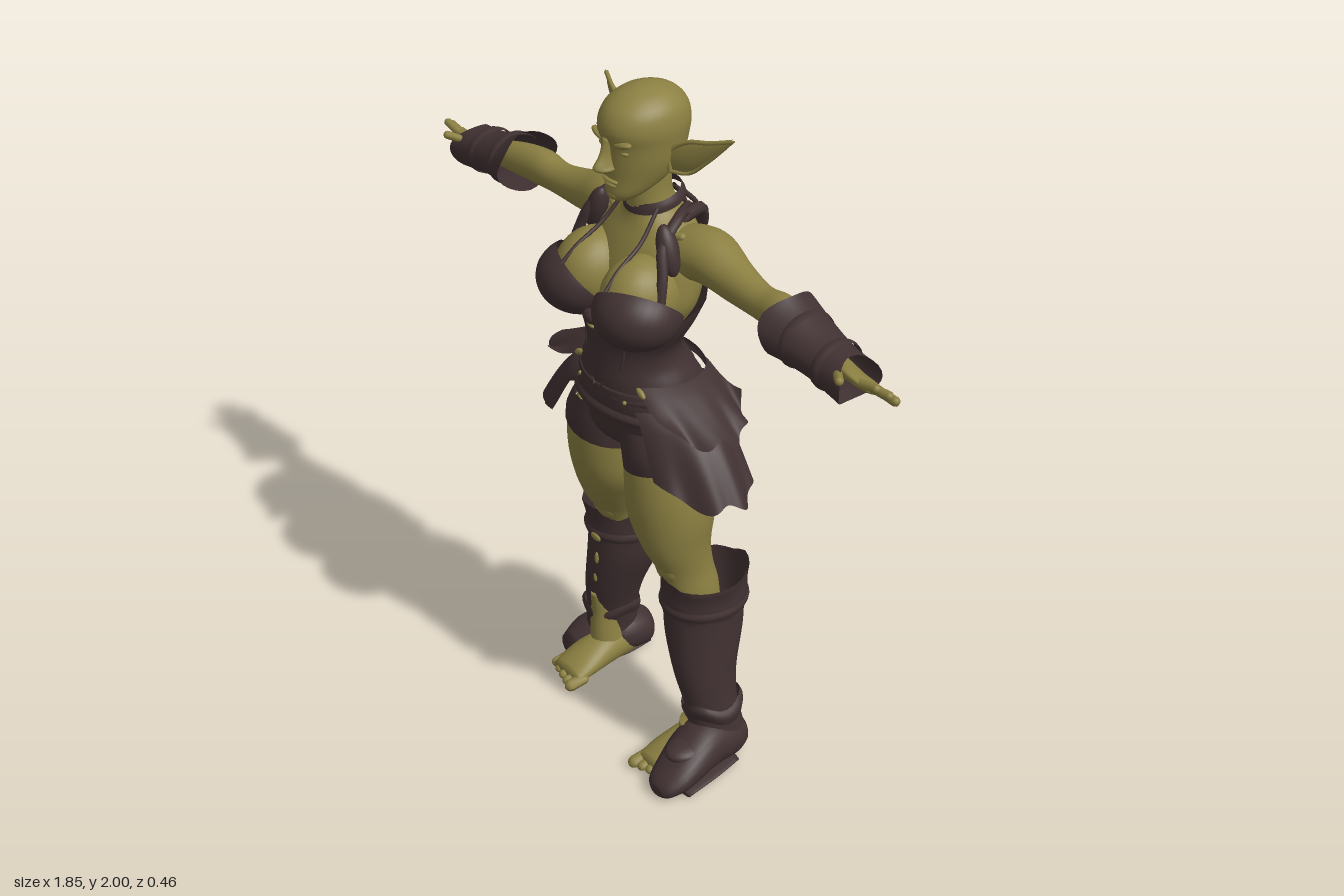
import * as THREE from 'three';

const skin = new THREE.MeshStandardMaterial({ color: 0x8c8042 });
skin.name = 'olive skin';
const leather = new THREE.MeshStandardMaterial({ color: 0x413132, side: THREE.DoubleSide });
leather.name = 'dark leather';

const V = (p) => new THREE.Vector3(...p);
const spline = (a, b, c, d, t) => b + 0.5 * t * (c - a + t * (2 * a - 5 * b + 4 * c - d + t * (3 * (b - c) + d - a)));

// Smooth skin over elliptical sections: [station, centre1, centre2, radius1, radius2]
// y axis: centres and radii in x, z; x axis: in y, z; z axis: in x, y
function loft(axis, rings, { cap = true, seg = 28, sub = 4, warp } = {}) {
  const sections = [];
  for (let i = 0; i < rings.length - 1; i++) {
    for (let k = 0; k < sub; k++) {
      const q = [i - 1, i, i + 1, i + 2].map((j) => rings[Math.min(Math.max(j, 0), rings.length - 1)]);
      sections.push(q[1].map((_, n) => spline(q[0][n], q[1][n], q[2][n], q[3][n], k / sub)));
    }
  }
  sections.push(rings.at(-1));
  if (cap) {
    sections.unshift([...sections[0].slice(0, 3), 0, 0]);
    sections.push([...sections.at(-1).slice(0, 3), 0, 0]);
  }
  const pos = [], idx = [];
  sections.forEach(([s, c, d, r, q], i) => {
    for (let j = 0; j < seg; j++) {
      const t = (j / seg) * Math.PI * 2, sn = Math.sin(t), cs = Math.cos(t);
      const p = axis === 'y' ? [c + r * sn, s, d + q * cs]
        : axis === 'x' ? [s, c + r * cs, d + q * sn] : [c - r * sn, d + q * cs, s];
      if (warp) warp(p, t, i / (sections.length - 1));
      pos.push(...p);
      if (i < sections.length - 1) {
        const a = i * seg + j, b = i * seg + ((j + 1) % seg);
        idx.push(a, b, b + seg, a, b + seg, a + seg);
      }
    }
  });
  const g = new THREE.BufferGeometry();
  g.setAttribute('position', new THREE.Float32BufferAttribute(pos, 3));
  g.setIndex(idx);
  g.computeVertexNormals();
  return g;
}

const ball = (c, r, rot = 0) => new THREE.SphereGeometry(1, 24, 16).scale(...r).rotateZ(rot).translate(...c);
const tube = (pts, r) => new THREE.TubeGeometry(new THREE.CatmullRomCurve3(pts.map(V)), 24, r, 8);
function capsule(a, b, r) {
  const d = V(b).sub(V(a)), len = d.length();
  const q = new THREE.Quaternion().setFromUnitVectors(new THREE.Vector3(0, 1, 0), d.normalize());
  return new THREE.CapsuleGeometry(r, len, 4, 10).applyQuaternion(q).translate(...V(a).add(V(b)).multiplyScalar(0.5));
}
function mirrored(geo) {
  const g = geo.clone().scale(-1, 1, 1), ix = g.index.array;
  for (let i = 0; i < ix.length; i += 3) [ix[i], ix[i + 1]] = [ix[i + 1], ix[i]];
  return g;
}

// Bulging side panel with soft folds, a wavy hem and slanted ends
function skirtPanel(from, to, top, hem, bulge) {
  const g = new THREE.PlaneGeometry(1, 1, 60, 10), p = g.attributes.position;
  for (let i = 0; i < p.count; i++) {
    const u = p.getX(i) + 0.5, v = 0.5 - p.getY(i), a = from + (to - from) * u;
    const mix = (n, k) => top[n] + (hem[n] - top[n]) * k;
    const out = v ** bulge, f = 1 + v * 0.025 * Math.sin(u * 26);
    const lift = v * v * (0.012 + 0.012 * Math.sin(u * 19) + 0.05 * Math.abs(2 * u - 1) ** 4);
    p.setXYZ(i, mix(1, out) * Math.sin(a) * f, mix(0, v) + lift, -0.01 + mix(2, out) * Math.cos(a) * f);
  }
  g.computeVertexNormals();
  return g;
}

export function createModel() {
  const model = new THREE.Group();
  model.name = 'warrior';
  const add = (name, geo, mat) => {
    const m = new THREE.Mesh(geo, mat);
    m.name = name;
    model.add(m);
  };
  const pair = (name, geo, mat) => {
    add(name + 'Left', geo, mat);
    add(name + 'Right', mirrored(geo), mat);
  };

  // Head and face
  add('head', loft('y', [[1.705, 0, 0.065, 0.028, 0.028], [1.725, 0, 0.045, 0.052, 0.06], [1.765, 0, 0.01, 0.076, 0.095],
    [1.81, 0, -0.005, 0.092, 0.112], [1.86, 0, -0.01, 0.099, 0.121], [1.905, 0, -0.008, 0.103, 0.129],
    [1.95, 0, -0.01, 0.092, 0.113], [1.982, 0, -0.013, 0.06, 0.074], [1.997, 0, -0.013, 0.02, 0.025]]), skin);
  add('nose', loft('y', [[1.788, 0, 0.112, 0.012, 0.012], [1.8, 0, 0.113, 0.023, 0.035], [1.812, 0, 0.113, 0.018, 0.04],
    [1.84, 0, 0.108, 0.012, 0.026], [1.885, 0, 0.105, 0.013, 0.016]]), skin);
  pair('brow', ball([0.042, 1.874, 0.096], [0.036, 0.01, 0.016], 0.25), skin);
  pair('eye', ball([0.04, 1.85, 0.087], [0.018, 0.008, 0.013]), skin);
  add('upperLip', ball([0, 1.764, 0.101], [0.03, 0.006, 0.012]), skin);
  add('lowerLip', ball([0, 1.751, 0.097], [0.024, 0.007, 0.013]), skin);
  add('chin', ball([0, 1.722, 0.086], [0.026, 0.018, 0.02]), skin);

  // Long pointed ears with a raised rim
  pair('ear', loft('x', [[0.08, 1.82, -0.03, 0.035, 0.015], [0.13, 1.832, -0.045, 0.046, 0.016],
    [0.18, 1.858, -0.06, 0.035, 0.012], [0.225, 1.888, -0.073, 0.017, 0.007], [0.262, 1.915, -0.085, 0.002, 0.002]]), skin);
  pair('earRim', tube([[0.09, 1.785, -0.02], [0.09, 1.84, -0.02], [0.13, 1.875, -0.038], [0.2, 1.893, -0.062], [0.258, 1.913, -0.084]], 0.006), skin);
  pair('earLowerRim', tube([[0.09, 1.785, -0.02], [0.14, 1.792, -0.04], [0.19, 1.838, -0.06], [0.24, 1.894, -0.078]], 0.005), skin);

  // Neck, chest and shoulders
  add('upperBody', loft('y', [[1.34, 0, 0.01, 0.13, 0.1], [1.42, 0, -0.002, 0.178, 0.122], [1.5, 0, -0.02, 0.183, 0.122],
    [1.57, 0, -0.033, 0.17, 0.108], [1.62, 0, -0.04, 0.13, 0.09], [1.655, 0, -0.035, 0.078, 0.075],
    [1.7, 0, -0.022, 0.059, 0.064], [1.78, 0, -0.02, 0.058, 0.065]]), skin);
  pair('collarbone', capsule([0.02, 1.605, 0.042], [0.15, 1.625, -0.012], 0.011), skin);
  pair('bust', ball([0.098, 1.46, 0.08], [0.098, 0.115, 0.115]), skin);

  // Arms and hands, the palm turned with the thumb up and forward
  pair('arm', loft('x', [[0.06, 1.56, -0.05, 0.05, 0.06], [0.14, 1.565, -0.06, 0.072, 0.08], [0.22, 1.572, -0.065, 0.07, 0.074],
    [0.32, 1.553, -0.06, 0.056, 0.055], [0.42, 1.545, -0.052, 0.045, 0.044], [0.5, 1.548, -0.05, 0.052, 0.047],
    [0.6, 1.54, -0.04, 0.046, 0.043], [0.72, 1.522, -0.03, 0.03, 0.033], [0.79, 1.518, -0.03, 0.022, 0.042],
    [0.84, 1.513, -0.032, 0.019, 0.044], [0.86, 1.513, -0.032, 0.012, 0.036]],
  { warp: (p) => { if (p[0] > 0.72) p[1] += (p[2] + 0.03) * 0.6 * Math.min((p[0] - 0.72) / 0.07, 1); } }), skin);
  [[[0.83, 1.49, -0.064], [0.884, 1.472, -0.078]], [[0.84, 1.503, -0.044], [0.91, 1.497, -0.054]],
    [[0.84, 1.519, -0.022], [0.914, 1.524, -0.028]], [[0.83, 1.532, 0], [0.895, 1.545, -0.002]],
    [[0.77, 1.537, 0.01], [0.822, 1.55, 0.05]]].forEach(([a, b], i) => pair('finger' + (i + 1), capsule(a, b, 0.0115), skin));

  // Flared bracers with edge bands
  pair('bracer', loft('x', [[0.55, 1.552, -0.03, 0.084, 0.1], [0.6, 1.54, -0.032, 0.073, 0.088], [0.68, 1.525, -0.03, 0.062, 0.074],
    [0.75, 1.513, -0.026, 0.062, 0.068], [0.8, 1.508, -0.024, 0.063, 0.07]],
  { cap: false, warp: (p, t, u) => { p[0] += (1 - u) * 0.012 * Math.cos(3 * t) - u * 0.02 * Math.cos(2 * t); } }), leather);
  for (const [x, y, r] of [[0.615, 1.537, 0.073], [0.725, 1.517, 0.064]]) {
    pair('bracerBand', loft('x', [[x - 0.015, y, -0.03, r, r + 0.01], [x, y, -0.03, r + 0.003, r + 0.013], [x + 0.015, y, -0.03, r, r + 0.008]], { cap: false }), leather);
  }

  // Bodice, cups, centre knot and keyhole gaps
  add('bodice', loft('y', [[1.14, 0, 0, 0.195, 0.152], [1.2, 0, 0.01, 0.172, 0.14], [1.25, 0, 0.022, 0.148, 0.123],
    [1.3, 0, 0.024, 0.15, 0.118], [1.36, 0, 0.012, 0.182, 0.13], [1.42, 0, -0.01, 0.203, 0.134]],
  { cap: false, warp: (p, t, u) => { p[1] += u * u * (-0.045 * Math.cos(t) + 0.005 * Math.sin(9 * t)); } }), leather);
  const cup = new THREE.SphereGeometry(0.12, 32, 16, 0, Math.PI * 2, 0, 1.72);
  cup.applyQuaternion(new THREE.Quaternion().setFromUnitVectors(new THREE.Vector3(0, 1, 0), V([0.36, -0.6, 0.62]).normalize()));
  pair('cup', cup.scale(1, 0.82, 1).translate(0.121, 1.435, 0.108), leather);
  add('centreKnot', ball([0, 1.385, 0.165], [0.03, 0.02, 0.02]), leather);
  pair('keyhole', ball([0.038, 1.333, 0.139], [0.014, 0.007, 0.008], 0.2), skin);
  pair('bodiceSeam', tube([[0.01, 1.17, 0.152], [0.07, 1.24, 0.127], [0.085, 1.33, 0.121]], 0.004), leather);

  // Collar, halter cords and shoulder harness
  add('collar', loft('y', [[1.66, 0, -0.042, 0.08, 0.083], [1.675, 0, -0.04, 0.078, 0.08], [1.69, 0, -0.036, 0.07, 0.075]],
    { cap: false, warp: (p) => { p[1] -= p[2] * 0.2; } }), leather);
  pair('halterCord', tube([[0.066, 1.675, 0], [0.08, 1.6, 0.067], [0.088, 1.55, 0.146], [0.094, 1.51, 0.19]], 0.0055), leather);
  pair('harnessFront', tube([[0.08, 1.66, -0.09], [0.125, 1.665, -0.02], [0.15, 1.615, 0.05], [0.175, 1.545, 0.07], [0.19, 1.47, 0.09]], 0.015), leather);
  pair('shoulderPad', ball([0.15, 1.6, 0.032], [0.028, 0.07, 0.03], 0.35), leather);
  pair('harnessBack', tube([[0.125, 1.665, -0.04], [0.1, 1.655, -0.11], [0.055, 1.58, -0.153], [0, 1.5, -0.155]], 0.018), leather);
  pair('backCord', tube([[0.02, 1.67, -0.12], [0.03, 1.62, -0.16], [0.012, 1.52, -0.172], [0.02, 1.42, -0.15]], 0.007), leather);

  // Shorts with two leg openings
  add('shorts', loft('y', [[0.965, 0, -0.015, 0.07, 0.08], [1.0, 0, -0.015, 0.18, 0.138], [1.07, 0, -0.017, 0.215, 0.158],
    [1.13, 0, -0.005, 0.203, 0.157], [1.18, 0, 0.006, 0.182, 0.146]]), leather);
  pair('shortsLeg', loft('y', [[0.945, 0.13, -0.015, 0.13, 0.15], [1.0, 0.122, -0.018, 0.122, 0.158], [1.07, 0.1, -0.018, 0.11, 0.152]],
    { cap: false, warp: (p, t, u) => { p[1] += (1 - u) * 0.03 * Math.sin(t); } }), leather);

  // Belts, studs, back knot and layered side skirts
  for (const [y, rx, rz, tilt] of [[1.09, 0.214, 0.165, 0.1], [1.165, 0.196, 0.156, -0.08]]) {
    add('belt', loft('y', [[y - 0.016, 0, -0.008, rx, rz], [y, 0, -0.008, rx + 0.005, rz + 0.005], [y + 0.016, 0, -0.008, rx - 0.003, rz - 0.003]],
      { cap: false, seg: 40, warp: (p) => { p[1] += p[2] * tilt; } }), leather);
  }
  for (const a of [0.5, 2.6]) {
    pair('stud', ball([0.202 * Math.sin(a), 1.165 - 0.0125 * Math.cos(a), -0.008 + 0.161 * Math.cos(a)], [0.006, 0.006, 0.006]), skin);
  }
  pair('hipGap', ball([0.135, 1.192, 0.108], [0.02, 0.009, 0.008], -0.5), skin);
  add('backKnot', ball([0, 1.1, -0.18], [0.03, 0.02, 0.014]), leather);
  pair('backBow', ball([0.045, 1.105, -0.172], [0.035, 0.014, 0.012], 0.3), leather);
  pair('lowerSkirt', skirtPanel(0.6, 2.6, [1.14, 0.2, 0.155], [0.91, 0.4, 0.178], 0.6), leather);
  pair('upperSkirt', skirtPanel(0.7, 2.45, [1.205, 0.18, 0.155], [1.095, 0.365, 0.177], 0.85), leather);

  // Legs and boots; the right leg stands further back and shows more of its foot
  for (const left of [true, false]) {
    const place = (name, geo, mat) => {
      const p = geo.attributes.position;
      for (let i = 0; i < p.count; i++) {
        const f = Math.min(Math.max((0.95 - p.getY(i)) / 0.4, 0), 1);
        p.setZ(i, p.getZ(i) - (left ? 0 : 0.06) * f);
        p.setX(i, p.getX(i) + (left ? 0.012 : -0.008) * f);
      }
      geo.computeVertexNormals();
      add(name + (left ? 'Left' : 'Right'), left ? geo : mirrored(geo), mat);
    };
    place('leg', loft('y', [[0.45, 0.19, -0.04, 0.06, 0.07], [0.55, 0.18, -0.025, 0.066, 0.08], [0.62, 0.172, -0.008, 0.07, 0.083],
      [0.7, 0.158, 0.012, 0.092, 0.1], [0.79, 0.14, 0.012, 0.122, 0.12], [0.88, 0.135, 0.005, 0.125, 0.132],
      [0.98, 0.125, -0.008, 0.115, 0.138], [1.04, 0.11, -0.01, 0.09, 0.12]]), skin);
    place('knee', ball([0.172, 0.64, 0.05], [0.048, 0.055, 0.03]), skin);
    place('boot', loft('y', [[0.08, 0.28, -0.045, 0.074, 0.084], [0.14, 0.275, -0.035, 0.069, 0.08], [0.21, 0.262, -0.028, 0.068, 0.082],
      [0.3, 0.243, -0.025, 0.079, 0.095], [0.42, 0.217, -0.04, 0.098, 0.116], [0.52, 0.208, -0.045, 0.104, 0.12], [0.6, 0.208, -0.045, 0.11, 0.122]], { cap: false }), leather);
    place('bootCuff', loft('y', [[0.495, 0.21, -0.045, 0.108, 0.123], [0.53, 0.21, -0.045, 0.113, 0.126], [0.57, 0.21, -0.045, 0.112, 0.125], [0.61, 0.212, -0.045, 0.118, 0.128]],
      { cap: false, warp: (p, t, u) => { p[1] += u * 0.016 * Math.cos(2 * t + 1.2) + 0.005 * Math.sin(7 * t); } }), leather);
    place('kneeStrap', loft('y', [[0.505, 0.21, -0.045, 0.112, 0.127], [0.52, 0.21, -0.045, 0.117, 0.132], [0.535, 0.21, -0.045, 0.113, 0.127]], { cap: false }), leather);
    place('ankleFlap', loft('y', [[0.16, 0.275, -0.035, 0.073, 0.085], [0.19, 0.272, -0.03, 0.082, 0.09], [0.21, 0.267, -0.028, 0.074, 0.086]],
      { cap: false, warp: (p, t) => { p[1] += 0.012 * Math.sin(3 * t); } }), leather);
    const shin = [[0.05, 0.245, 0.0, 0.05, 0.06], [0.13, 0.248, 0.008, 0.042, 0.05], [0.2, 0.247, 0.01, 0.036, 0.047], [0.28, 0.236, 0.02, 0.022, 0.05]];
    place('innerShin', loft('y', left ? shin.slice(0, 2) : shin), skin);
    place('foot', loft('z', [[-0.145, 0.25, 0.045, 0.02, 0.025], [-0.12, 0.25, 0.05, 0.044, 0.045], [0, 0.245, 0.058, 0.055, 0.056],
      [0.1, 0.242, 0.042, 0.064, 0.04], [0.165, 0.24, 0.024, 0.06, 0.022]]), skin);
    for (let i = 0; i < 5; i++) {
      const x = 0.19 + i * (left ? 0.025 : 0.03), r = i ? 0.014 : 0.018;
      place('toe', capsule([x, r + 0.004, 0.14 - i * 0.006], [x, r, 0.185 - i * 0.009], r), skin);
    }
    // Left boot covers the outer toes but leaves the heel bare; the right does the reverse
    place('bootFoot', loft('z', left
      ? [[-0.115, 0.302, 0.06, 0.032, 0.045], [-0.07, 0.296, 0.068, 0.062, 0.066], [0.01, 0.295, 0.078, 0.076, 0.076],
        [0.08, 0.306, 0.068, 0.08, 0.066], [0.15, 0.323, 0.048, 0.07, 0.046], [0.2, 0.328, 0.03, 0.05, 0.028], [0.217, 0.33, 0.024, 0.025, 0.014]]
      : [[-0.155, 0.265, 0.055, 0.044, 0.05], [-0.12, 0.262, 0.066, 0.07, 0.064], [-0.04, 0.272, 0.075, 0.08, 0.072],
        [0.03, 0.303, 0.062, 0.07, 0.06], [0.09, 0.325, 0.04, 0.036, 0.036]]), leather);
    if (left) {
      place('toeFlap', ball([0.31, 0.1, 0.09], [0.052, 0.026, 0.07]), leather);
      place('heelStrap', tube([[0.2, 0.12, -0.06], [0.24, 0.1, -0.13], [0.31, 0.09, -0.1]], 0.01), leather);
    } else {
      [[0.19, 0.515, 0.086, 0.022, 0.011], [0.2, 0.43, 0.076, 0.007, 0.02], [0.215, 0.35, 0.07, 0.007, 0.016]]
        .forEach(([x, y, z, w, h]) => place('bootTear', ball([x, y, z], [w, h, 0.006]), skin));
    }
    place('sole', loft('z', left
      ? [[-0.06, 0.3, 0.012, 0.06, 0.012], [0.03, 0.31, 0.012, 0.07, 0.012], [0.15, 0.33, 0.012, 0.068, 0.012]]
      : [[-0.14, 0.27, 0.012, 0.05, 0.012], [-0.02, 0.285, 0.012, 0.07, 0.012], [0.08, 0.32, 0.012, 0.042, 0.012]]), leather);
  }
  return model;
}
